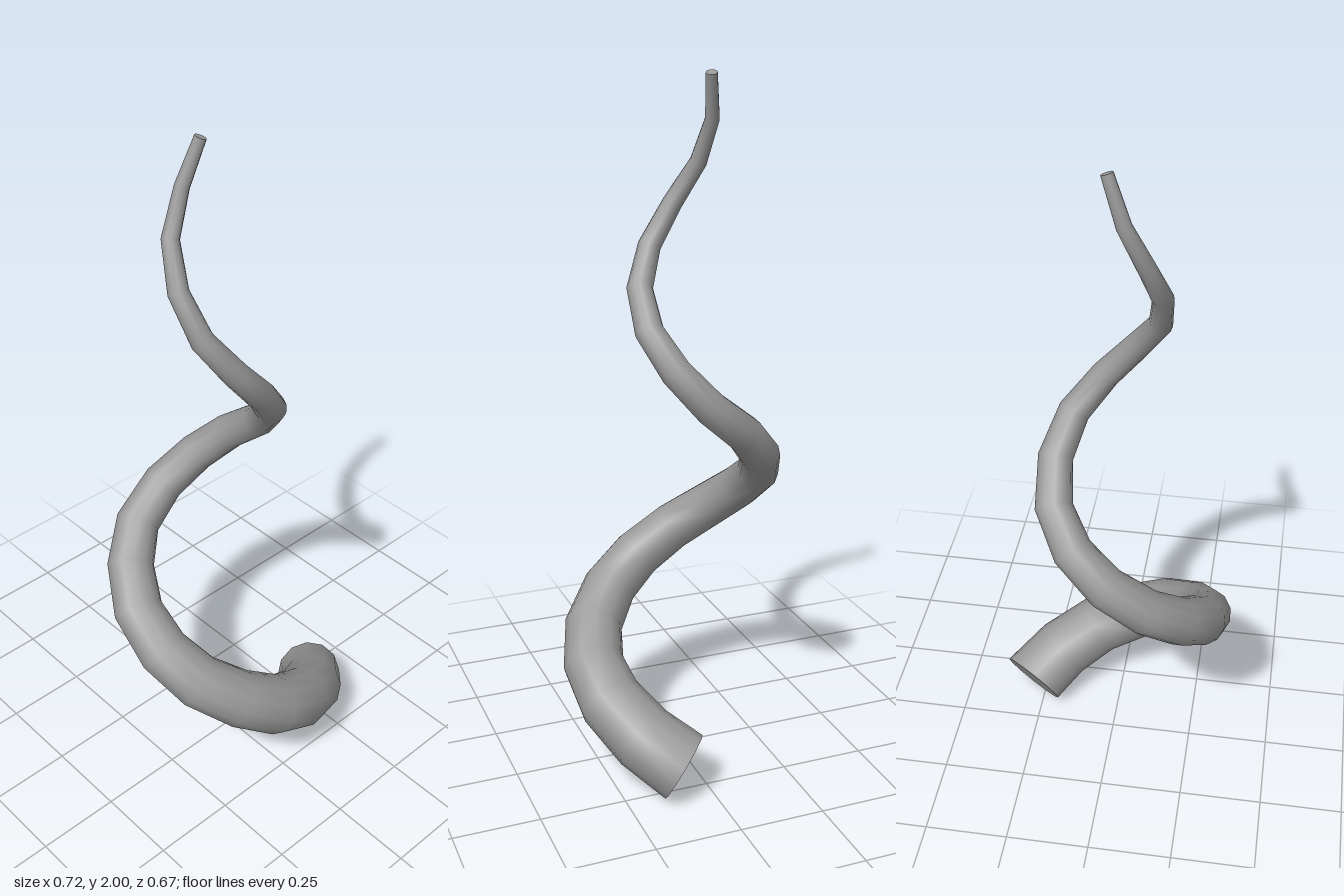
import * as THREE from 'three';

const SIDES = 12;
const BASE_RADIUS = 0.103, TIP_RADIUS = 0.0165;

// Centreline of the winding horn, base to tip, one point per ring
const PATH = [
  [0.28, 0.093, 0.082], [0.193, 0.16, 0.172], [0.08, 0.23, 0.232], [-0.04, 0.295, 0.244],
  [-0.15, 0.37, 0.207], [-0.24, 0.445, 0.124], [-0.282, 0.52, 0.02], [-0.277, 0.60, -0.098],
  [-0.22, 0.68, -0.198], [-0.135, 0.76, -0.262], [-0.022, 0.845, -0.273], [0.078, 0.93, -0.233],
  [0.143, 1.02, -0.154], [0.156, 1.11, -0.045], [0.117, 1.21, 0.042], [0.035, 1.31, 0.089],
  [-0.055, 1.415, 0.084], [-0.122, 1.52, 0.03], [-0.135, 1.635, -0.045],
  [-0.102, 1.75, -0.11], [-0.045, 1.87, -0.127], [0, 1.995, -0.105],
].map(p => new THREE.Vector3(...p));

// Point ahead of the base that only sets the tilt of the base ring
const LEAD_IN = new THREE.Vector3(0.337, 0.025, -0.033);

// Flat disc closing one ring of the tube
function endCap(tube, ring, reversed) {
  const cap = new THREE.CircleGeometry(1, SIDES);
  const from = tube.attributes.position, to = cap.attributes.position;
  const v = new THREE.Vector3();
  to.setXYZ(0, ...PATH[ring].toArray());
  for (let j = 0; j <= SIDES; j++) {
    v.fromBufferAttribute(from, ring * (SIDES + 1) + (reversed ? SIDES - j : j));
    to.setXYZ(j + 1, v.x, v.y, v.z);
  }
  cap.computeVertexNormals();
  return cap;
}

export function createModel() {
  const group = new THREE.Group();
  group.name = 'spiralHorn';
  const material = new THREE.MeshStandardMaterial({ color: 0x999999 });
  const last = PATH.length - 1;

  // Rings sit exactly on the path points, skipping the lead-in
  const curve = new THREE.CatmullRomCurve3([LEAD_IN, ...PATH]);
  const skipLead = t => (1 + t * last) / (last + 1);
  curve.getPointAt = (t, target) => curve.getPoint(skipLead(t), target);
  curve.getTangentAt = (t, target) => curve.getTangent(skipLead(t), target);
  const tube = new THREE.TubeGeometry(curve, last, 1, SIDES, false);

  // Taper: shrink each ring towards its centre
  const pos = tube.attributes.position;
  const v = new THREE.Vector3();
  for (let i = 0; i < pos.count; i++) {
    const ring = Math.floor(i / (SIDES + 1));
    const radius = THREE.MathUtils.lerp(BASE_RADIUS, TIP_RADIUS, ring / last);
    v.fromBufferAttribute(pos, i).sub(PATH[ring]).multiplyScalar(radius).add(PATH[ring]);
    pos.setXYZ(i, v.x, v.y, v.z);
  }

  const add = (name, geometry) => {
    const mesh = new THREE.Mesh(geometry, material);
    mesh.name = name;
    group.add(mesh);
  };
  add('spiralBody', tube);
  add('baseCap', endCap(tube, 0, false));
  add('tipCap', endCap(tube, last, true));
  return group;
}
